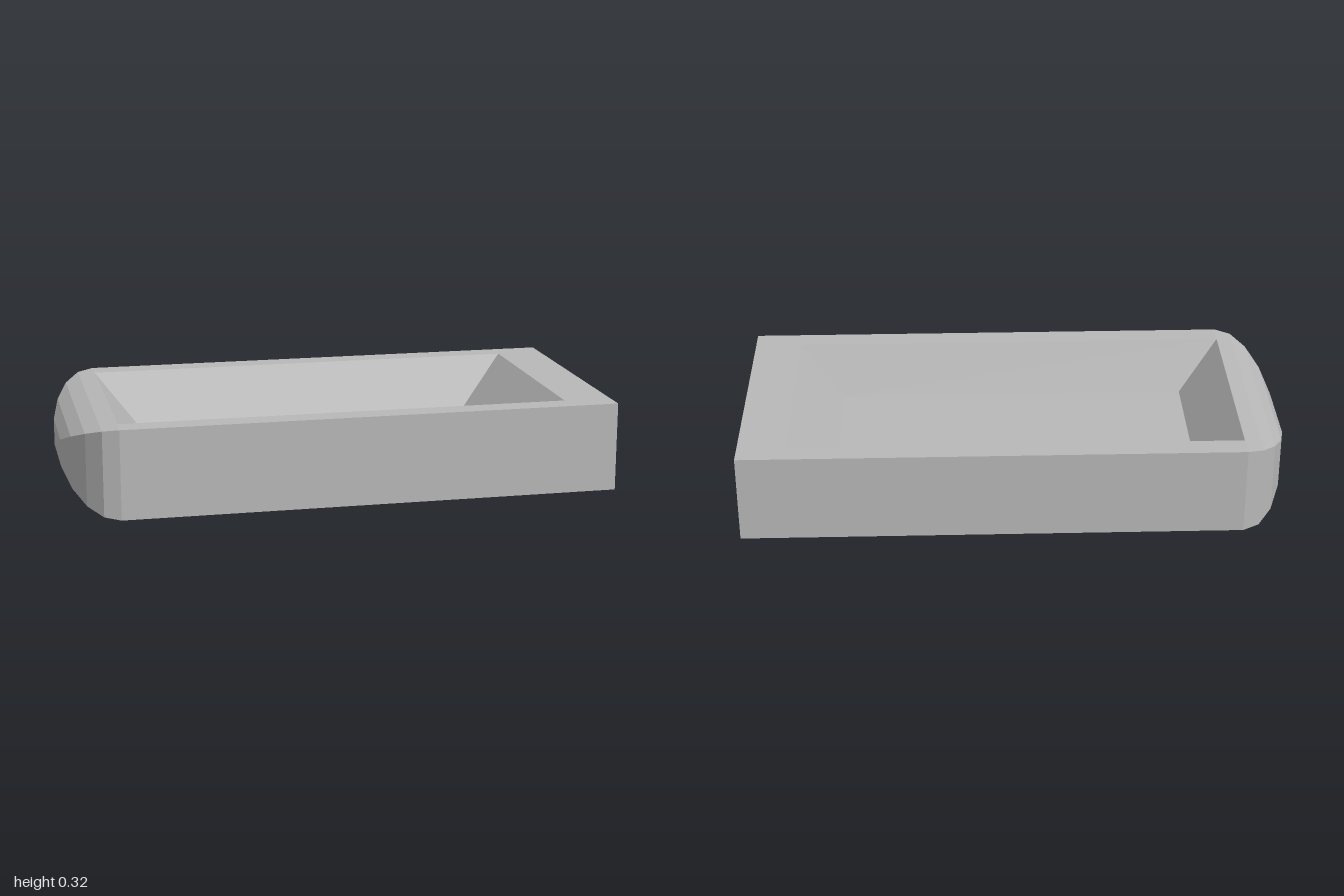
import * as THREE from 'three';

const H = 0.325;        // height
const W = 0.49;         // half width
const NOSE = -0.812;    // where the rounded end begins

// Joins successive four-cornered rings; rings may shrink to a point.
function loft(rings, sides = [0, 1, 2, 3]) {
  const pos = [];
  const tri = (a, b, c) => {
    if (new THREE.Triangle(a, b, c).getArea() > 1e-9) {
      for (const p of [a, b, c]) pos.push(p.x, p.y, p.z);
    }
  };
  for (let r = 0; r < rings.length - 1; r++) {
    for (const i of sides) {
      const j = (i + 1) % 4, a = rings[r], b = rings[r + 1];
      tri(a[i], a[j], b[j]);
      tri(a[i], b[j], b[i]);
    }
  }
  const g = new THREE.BufferGeometry();
  g.setAttribute('position', new THREE.Float32BufferAttribute(pos, 3));
  g.computeVertexNormals();
  return g;
}

// Level rectangle, counter-clockwise from above
const level = (y, x0, x1, z0, z1) => [[x0, z1], [x1, z1], [x1, z0], [x0, z0]]
  .map(([x, z]) => new THREE.Vector3(x, y, z));

// Upright rectangle across the body, scaled about its centre
const upright = (x, s) => [[-1, -1], [-1, 1], [1, 1], [1, -1]]
  .map(([y, z]) => new THREE.Vector3(x, H / 2 * (1 + y * s), W * z * s));

export function createModel() {
  const group = new THREE.Group();
  const grey = new THREE.MeshStandardMaterial({ color: 0xb8b8b8 });
  grey.name = 'grey';
  grey.flatShading = true;

  const add = (name, geometry) => {
    const mesh = new THREE.Mesh(geometry, grey);
    mesh.name = name;
    group.add(mesh);
  };

  const bottom = level(0, NOSE, 1, -W, W);
  const top = level(H, NOSE, 1, -W, W);
  const rim = level(H, -0.81, 0.825, -0.405, 0.405);
  const floor = level(0.135, -0.66, 0.66, -0.325, 0.325);

  add('underside', loft([level(0, 0, 0, 0, 0), bottom]));
  add('outerWalls', loft([bottom, top], [0, 1, 2]));  // open towards the rounded end
  add('rim', loft([top, rim]));
  add('basinWalls', loft([rim, floor]));
  add('basinFloor', loft([floor, level(0.135, 0, 0, 0, 0)]));

  // Rounded end: rectangles shrinking along a quarter ellipse
  const steps = 5, sections = [];
  for (let i = 0; i <= steps; i++) {
    const t = (i / steps) * Math.PI / 2;
    sections.push(upright(NOSE - (1 + NOSE) * Math.sin(t), i === steps ? 0 : Math.cos(t)));
  }
  add('roundedEnd', loft(sections));

  return group;
}
